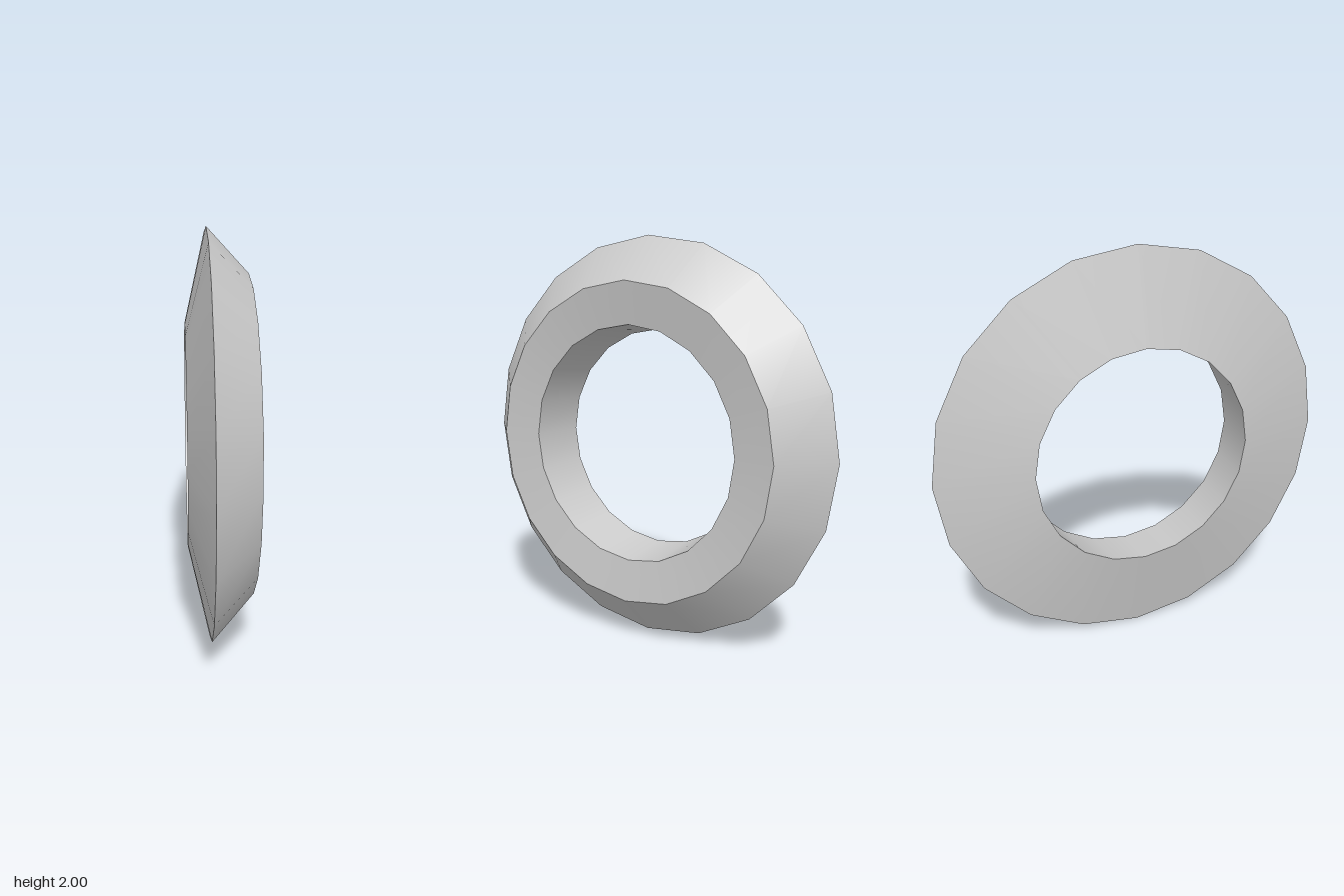
import * as THREE from 'three';

// Closed ring section as [radius, position along the axis]
const SECTION = [
  ['outerBevel', 1.0, -0.05],
  ['dishedFace', 0.785, 0.15],
  ['bore', 0.58, 0.12],
  ['backCone', 0.55, -0.152],
];
const SIDES = 20;

export function createModel() {
  const ring = new THREE.Group();
  ring.name = 'bevelledRing';
  const material = new THREE.MeshStandardMaterial({ color: 0xcccccc });

  // One lathed band per section edge: smooth around, sharp between bands
  SECTION.forEach(([name, r, a], i) => {
    const [, r2, a2] = SECTION[(i + 1) % SECTION.length];
    const geometry = new THREE.LatheGeometry(
      [new THREE.Vector2(r, a), new THREE.Vector2(r2, a2)], SIDES);
    geometry.rotateZ(-Math.PI / 2); // axis along x
    const band = new THREE.Mesh(geometry, material);
    band.name = name;
    ring.add(band);
  });

  // Stand the ring on the ground
  ring.position.y = 1;
  const model = new THREE.Group();
  model.name = 'ringModel';
  model.add(ring);
  return model;
}
